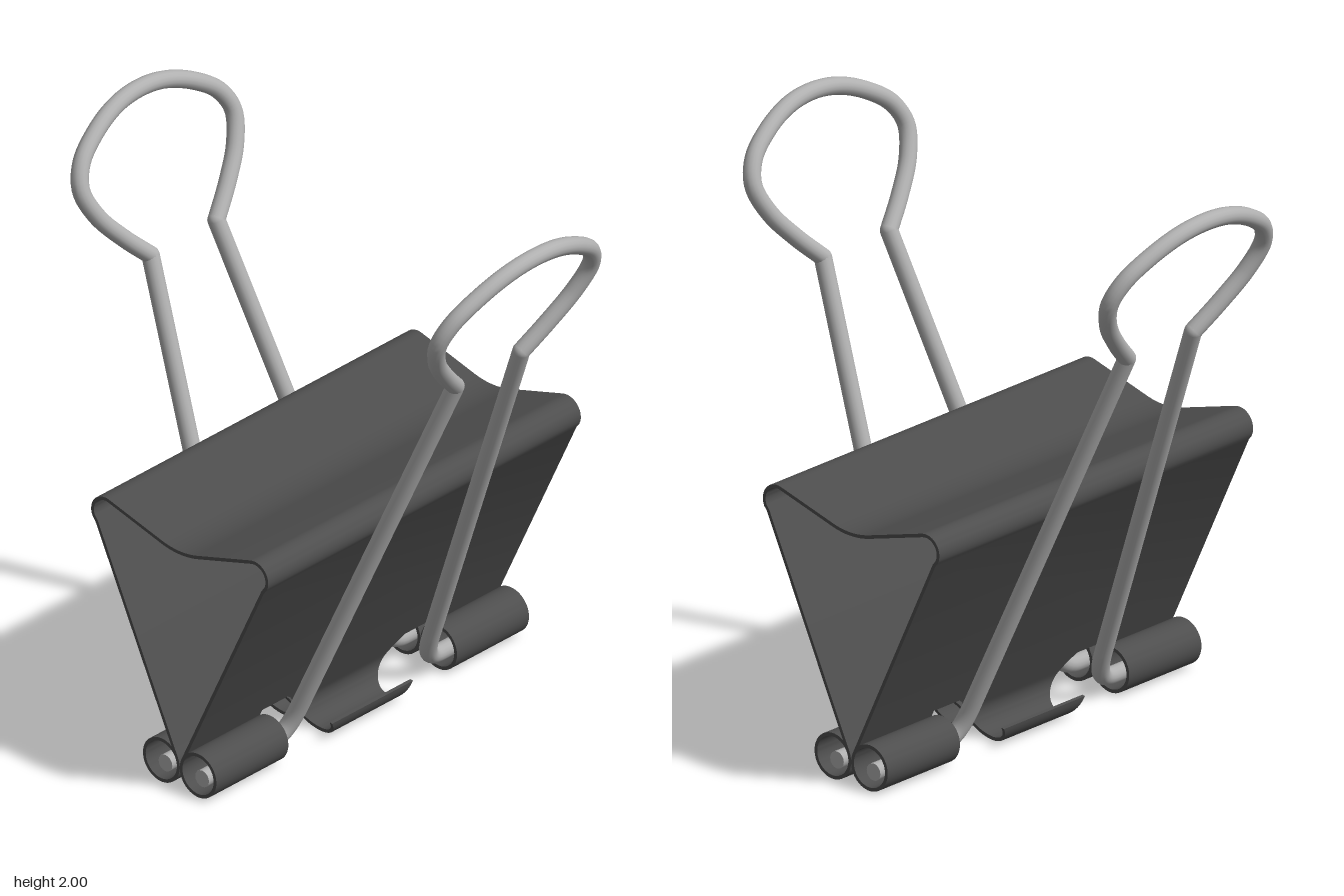
import * as THREE from 'three';
import { toCreasedNormals } from 'three/addons/utils/BufferGeometryUtils.js';

const HALF_THICK = 0.006;   // half the sheet thickness
const WIDTH = 0.76;         // half the clip width
const BARREL = { z: 0.08, y: 0.08, r: 0.074 };
const CUT_Y = 0.17;         // height of the notches in the lower edge

const rad = THREE.MathUtils.degToRad;

// Points of an arc in the (z, y) plane
function arc(cz, cy, r, from, to, steps) {
  return Array.from({ length: steps + 1 }, (_, i) => {
    const a = rad(from + ((to - from) * i) / steps);
    return new THREE.Vector2(cz + r * Math.cos(a), cy + r * Math.sin(a));
  });
}

// Bent sheet: follows a (z, y) path, span(y) gives its [x0, x1]
function sheet(path, span) {
  const pos = [], index = [];
  path.forEach((p, i) => {
    const before = path[Math.max(i - 1, 0)], after = path[Math.min(i + 1, path.length - 1)];
    const t = after.clone().sub(before).normalize();
    const nz = -t.y * HALF_THICK, ny = t.x * HALF_THICK;
    const [x0, x1] = span(p.y);
    pos.push(x0, p.y + ny, p.x + nz, x1, p.y + ny, p.x + nz,
      x1, p.y - ny, p.x - nz, x0, p.y - ny, p.x - nz);
  });
  const n = path.length - 1;
  for (let i = 0; i < n; i++) {
    for (let j = 0; j < 4; j++) {
      const k = (j + 1) % 4, a = i * 4, b = a + 4;
      index.push(a + j, b + j, b + k, a + j, b + k, a + k);
    }
  }
  const e = n * 4;
  index.push(0, 1, 2, 0, 2, 3, e, e + 2, e + 1, e, e + 3, e + 2);
  const geo = new THREE.BufferGeometry();
  geo.setAttribute('position', new THREE.Float32BufferAttribute(pos, 3));
  geo.setIndex(index);
  return toCreasedNormals(geo, 0.6);
}

// Half width of the centre tab at height y
function tabHalfWidth(y) {
  const pts = [[0, 0.155], [0.07, 0.195], [0.11, 0.22], [0.14, 0.245], [0.17, 0.285]];
  for (let i = 1; i < pts.length; i++) {
    const [y0, w0] = pts[i - 1], [y1, w1] = pts[i];
    if (y <= y1) return w0 + ((w1 - w0) * Math.max(y - y0, 0)) / (y1 - y0);
  }
  return pts[pts.length - 1][1];
}

export function createModel() {
  const black = new THREE.MeshStandardMaterial({ color: 0x4e4e4e });
  black.name = 'darkSheet';
  const steel = new THREE.MeshStandardMaterial({ color: 0xb0b0b0 });
  steel.name = 'steelWire';

  const model = new THREE.Group();
  model.name = 'binderClip';
  const add = (parent, geo, mat, name) => {
    const mesh = new THREE.Mesh(geo, mat);
    mesh.name = name;
    parent.add(mesh);
    return mesh;
  };

  // Wall meets the barrel as a tangent at 155 degrees
  const barrelStart = arc(BARREL.z, BARREL.y, BARREL.r, 155, 155, 1)[0];
  const slope = Math.tan(rad(25));
  const wallAt = (y) => new THREE.Vector2(barrelStart.x + (y - barrelStart.y) * slope, y);

  // Body: both walls, rounded shoulders and the dipped spine
  const half = [wallAt(CUT_Y), wallAt(0.19), wallAt(0.86), ...arc(0.325, 0.9, 0.055, -25, 106, 14)];
  const dip = new THREE.QuadraticBezierCurve(
    new THREE.Vector2(0.08, 0.886), new THREE.Vector2(0, 0.863), new THREE.Vector2(-0.08, 0.886));
  const mirrored = half.map((p) => new THREE.Vector2(-p.x, p.y)).reverse();
  add(model, sheet([...half, ...dip.getPoints(12), ...mirrored], () => [-WIDTH, WIDTH]), black, 'body');

  // Lower edge of one wall: two barrels and the curled centre tab
  const lead = Array.from({ length: 7 }, (_, i) => wallAt(CUT_Y + ((barrelStart.y - CUT_Y) * i) / 7));
  const barrelGeo = sheet([...lead, ...arc(BARREL.z, BARREL.y, BARREL.r, 155, 508, 48)], () => [0.41, WIDTH]);
  const tabGeo = sheet([...lead, ...arc(BARREL.z, BARREL.y, BARREL.r, 155, 354, 28)],
    (y) => [-tabHalfWidth(y), tabHalfWidth(y)]);

  // Wire handle, laid along its tilted plane
  const R = 0.03;
  const wire = (x, y) => new THREE.Vector3(x, y, 0.08 + (y - 0.06) * 0.409);
  const loopSide = [[0.16, 1.49], [0.25, 1.575], [0.335, 1.675], [0.37, 1.77],
    [0.335, 1.845], [0.24, 1.91], [0.12, 1.956]];
  const loopPoints = [
    ...loopSide.map(([x, y]) => wire(x, y)),
    wire(0, 1.97),
    ...loopSide.map(([x, y]) => wire(-x, y)).reverse(),
  ];
  const loopGeo = new THREE.TubeGeometry(new THREE.CatmullRomCurve3(loopPoints), 96, R, 16);

  const legGeo = (s) => {
    const knee = wire(s * 0.16, 1.49), bend = wire(s * 0.318, 0.19);
    const path = new THREE.CurvePath();
    path.add(new THREE.LineCurve3(knee, bend));
    path.add(new THREE.CubicBezierCurve3(bend, wire(s * 0.328, 0.105), wire(s * 0.35, 0.06), wire(s * 0.42, 0.06)));
    path.add(new THREE.LineCurve3(wire(s * 0.42, 0.06), wire(s * 0.74, 0.06)));
    return new THREE.TubeGeometry(path, 140, R, 16);
  };

  for (const side of ['front', 'back']) {
    const group = new THREE.Group();
    group.name = side + 'Side';
    if (side === 'back') group.rotation.y = Math.PI;
    model.add(group);

    add(group, barrelGeo, black, 'barrel');
    add(group, barrelGeo, black, 'barrel').position.x = -WIDTH - 0.41;
    add(group, tabGeo, black, 'centreTab');

    const handle = new THREE.Group();
    handle.name = side + 'Handle';
    group.add(handle);
    add(handle, loopGeo, steel, 'handleLoop');
    for (const s of [1, -1]) {
      add(handle, legGeo(s), steel, 'handleLeg');
      // Rounded elbow and flat wire end
      add(handle, new THREE.SphereGeometry(R, 16, 12), steel, 'handleElbow').position.copy(wire(s * 0.16, 1.49));
      const end = add(handle, new THREE.CircleGeometry(R, 16), steel, 'wireEnd');
      end.position.copy(wire(s * 0.74, 0.06));
      end.rotation.y = (s * Math.PI) / 2;
    }
  }
  return model;
}
